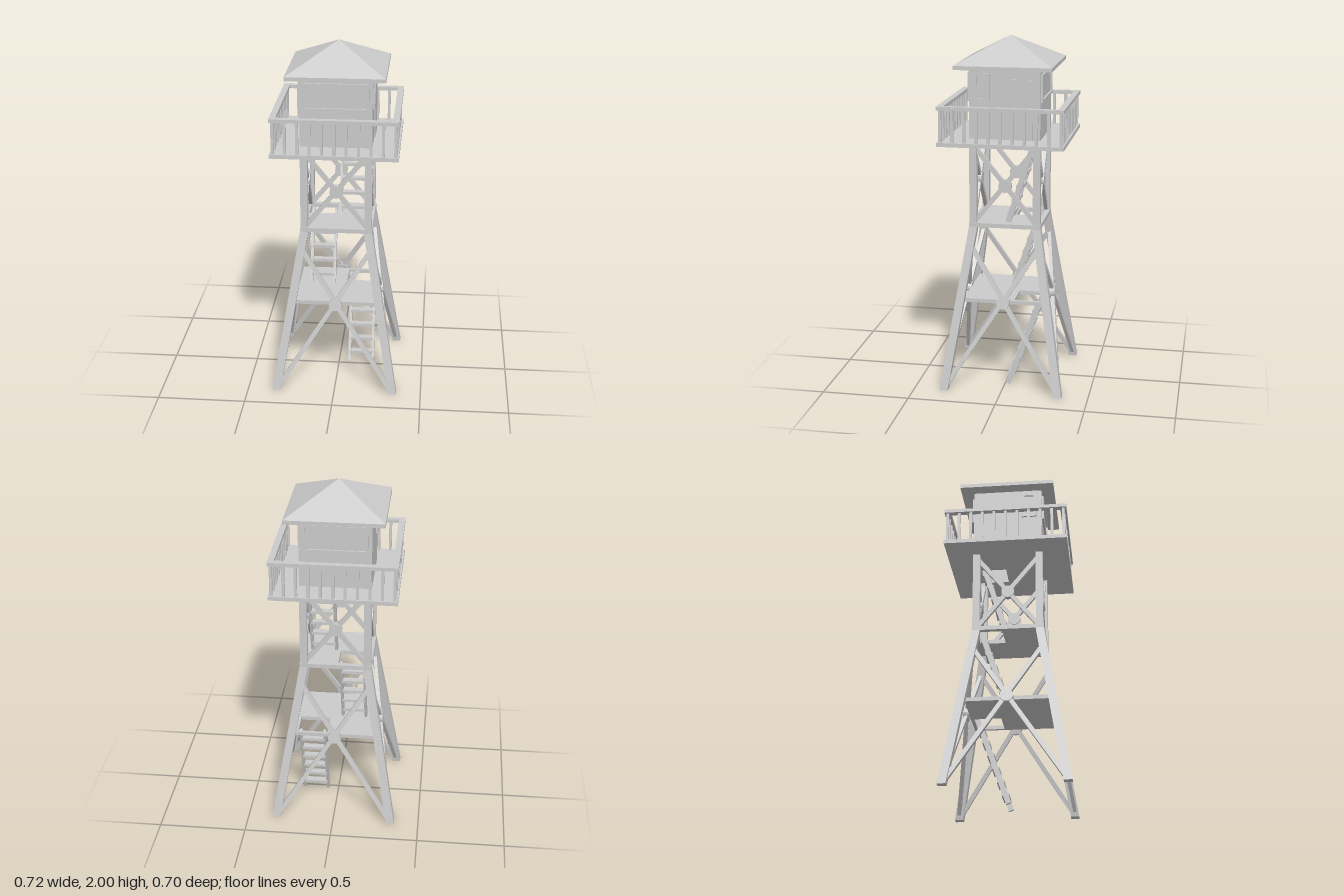
import * as THREE from 'three';

const material = new THREE.MeshStandardMaterial({ color: 0xcccccc, flatShading: true });

function add(parent, name, geometry, x = 0, y = 0, z = 0) {
  const mesh = new THREE.Mesh(geometry, material);
  mesh.name = name;
  mesh.position.set(x, y, z);
  parent.add(mesh);
  return mesh;
}

function box(parent, name, w, h, d, x, y, z) {
  return add(parent, name, new THREE.BoxGeometry(w, h, d), x, y, z);
}

function group(parent, name) {
  const g = new THREE.Group();
  g.name = name;
  parent.add(g);
  return g;
}

// Straight beam from a to b; its depth runs along the given normal
function beam(parent, name, a, b, width, depth, normal) {
  const dir = b.clone().sub(a);
  const mesh = box(parent, name, width, dir.length(), depth, 0, 0, 0);
  dir.normalize();
  const side = dir.clone().cross(normal).normalize();
  const basis = new THREE.Matrix4().makeBasis(side, dir, side.clone().cross(dir));
  mesh.quaternion.setFromRotationMatrix(basis);
  mesh.position.copy(a).add(b).multiplyScalar(0.5);
  return mesh;
}

function rectPath(Type, x0, x1, z0, z1) {
  const p = new Type();
  p.moveTo(x0, -z1);
  p.lineTo(x1, -z1);
  p.lineTo(x1, -z0);
  p.lineTo(x0, -z0);
  p.closePath();
  return p;
}

// Horizontal square slab with a rectangular opening [x0, x1, z0, z1]
function slab(parent, name, half, y, height, hole) {
  const shape = rectPath(THREE.Shape, -half, half, -half, half);
  shape.holes.push(rectPath(THREE.Path, ...hole));
  const geo = new THREE.ExtrudeGeometry(shape, { depth: height, bevelEnabled: false });
  geo.rotateX(-Math.PI / 2);
  return add(parent, name, geo, 0, y, 0);
}

// Leaning leg: a box whose lower end is shifted outwards
function leg(parent, sx, sz) {
  const geo = new THREE.BoxGeometry(0.047, 0.95, 0.047);
  const pos = geo.attributes.position;
  for (let i = 0; i < pos.count; i++) {
    const t = 0.5 - pos.getY(i) / 0.95;
    pos.setX(i, pos.getX(i) + sx * (0.179 + 0.157 * t));
    pos.setZ(i, pos.getZ(i) + sz * (0.179 + 0.15 * t));
  }
  geo.computeVertexNormals();
  add(parent, 'leg', geo, 0, 0.475, 0);
}

// Pair of crossed braces with a round plate, lying on one side of the frame
function crossBrace(parent, low, high, plateY, faceZ, normal) {
  for (const s of [-1, 1]) {
    const a = new THREE.Vector3(s * low[0], low[1], faceZ(low[1]));
    const b = new THREE.Vector3(-s * high[0], high[1], faceZ(high[1]));
    beam(parent, 'brace', a, b, 0.025, 0.02, normal);
  }
  const plate = add(parent, 'bracePlate', new THREE.CylinderGeometry(0.037, 0.037, 0.032, 16), 0, plateY, faceZ(plateY));
  plate.quaternion.setFromUnitVectors(new THREE.Vector3(0, 1, 0), normal);
}

// Ladder leaning towards the back
function ladder(parent, x0, x1, y0, z0, y1, z1, firstRung, rungs) {
  const g = group(parent, 'ladder');
  const xAxis = new THREE.Vector3(0, y0 - y1, z0 - z1).cross(new THREE.Vector3(1, 0, 0));
  for (const x of [x0 + 0.008, x1 - 0.008]) {
    beam(g, 'ladderRail', new THREE.Vector3(x, y0, z0), new THREE.Vector3(x, y1, z1), 0.016, 0.03, xAxis);
  }
  for (let i = 0; i < rungs; i++) {
    const y = firstRung + i * 0.078;
    const z = z0 + (z1 - z0) * (y - y0) / (y1 - y0);
    box(g, 'ladderRung', x1 - x0 - 0.02, 0.016, 0.04, (x0 + x1) / 2, y, z);
  }
}

// Rectangular frame standing off a wall, built facing +z
function windowFrame(parent, w, h, x, y, z) {
  const t = 0.016, d = 0.02;
  const g = group(parent, 'windowFrame');
  for (const s of [-1, 1]) {
    box(g, 'frameBar', w, t, d, x, y + s * (h - t) / 2, z);
    box(g, 'frameBar', t, h - 2 * t, d, x + s * (w - t) / 2, y, z);
  }
  box(g, 'windowPane', w - 2 * t, h - 2 * t, 0.006, x, y, z - 0.004);
}

export function createModel() {
  const model = new THREE.Group();
  model.name = 'watchtower';

  // Legs and upper posts
  const frame = group(model, 'frame');
  for (const sx of [-1, 1]) {
    for (const sz of [-1, 1]) {
      leg(frame, sx, sz);
      box(frame, 'upperPost', 0.041, 0.5, 0.041, sx * 0.18, 1.185, sz * 0.18);
    }
  }

  // Crossed braces on all four sides
  const lean = Math.atan(0.155 / 0.95);
  const tilted = new THREE.Vector3(0, Math.sin(lean), Math.cos(lean));
  const upright = new THREE.Vector3(0, 0, 1);
  for (let i = 0; i < 4; i++) {
    const side = group(frame, 'bracing');
    side.rotation.y = i * Math.PI / 2;
    crossBrace(side, [0.315, 0.03], [0.195, 0.83], 0.515, y => 0.333 - 0.155 * y / 0.95, tilted);
    crossBrace(side, [0.175, 0.965], [0.175, 1.4], 1.18, () => 0.18, upright);
  }

  // Landings and deck, open where the ladders pass
  slab(model, 'lowerLanding', 0.232, 0.502, 0.022, [0.045, 0.215, -0.215, -0.06]);
  slab(model, 'middleLanding', 0.204, 0.94, 0.024, [-0.175, -0.015, -0.175, -0.03]);
  slab(model, 'deck', 0.35, 1.424, 0.022, [0, 0.16, -0.178, -0.03]);

  // Ladders
  ladder(model, 0.055, 0.21, 0.01, -0.02, 0.515, -0.2, 0.063, 6);
  ladder(model, -0.17, -0.02, 0.525, -0.012, 0.95, -0.155, 0.58, 5);
  ladder(model, 0.003, 0.158, 0.965, -0.012, 1.435, -0.16, 1.012, 6);

  // Railing
  for (let i = 0; i < 4; i++) {
    const side = group(model, 'railing');
    side.rotation.y = i * Math.PI / 2;
    box(side, 'handrail', 0.665, 0.02, 0.035, -0.0175, 1.635, 0.3325);
    for (let k = 0; k < 10; k++) {
      box(side, 'baluster', 0.016, 0.182, 0.016, -0.3325 + k * 0.0665, 1.535, 0.3325);
    }
  }

  // Cabin walls
  const cabin = group(model, 'cabin');
  slab(cabin, 'cabinWalls', 0.199, 1.445, 0.395, [-0.184, 0.184, -0.184, 0.184]);

  // Wide windows front and back, small windows on the sides
  for (const s of [0, 1]) {
    const wide = group(cabin, 'wideWindow');
    wide.rotation.y = s * Math.PI;
    windowFrame(wide, 0.36, 0.155, 0, 1.73, 0.2);
    const small = group(cabin, 'sideWindow');
    small.rotation.y = s ? -Math.PI / 2 : Math.PI / 2;
    windowFrame(small, 0.085, 0.155, s ? 0.125 : -0.125, 1.735, 0.2);
  }

  // Door on the left side
  box(cabin, 'door', 0.012, 0.335, 0.165, 0.199, 1.613, -0.073);

  // Roof: flat eave and pyramid
  box(model, 'eave', 0.545, 0.022, 0.545, 0, 1.846, 0);
  const roof = new THREE.ConeGeometry(0.272 * Math.SQRT2, 0.143, 4);
  roof.rotateY(Math.PI / 4);
  add(model, 'roof', roof, 0, 1.9285, 0);

  return model;
}
